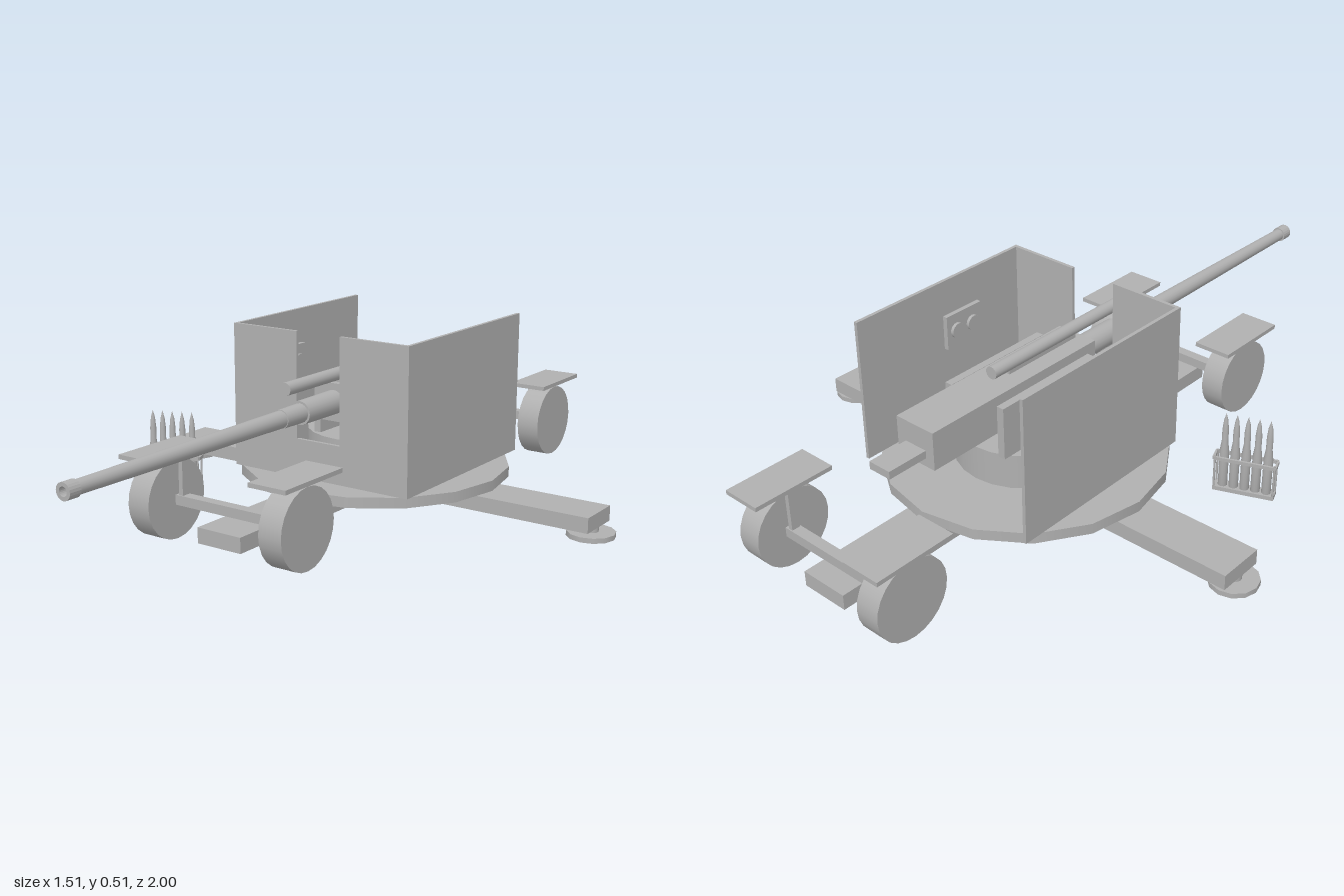
import * as THREE from 'three';

const steel = new THREE.MeshStandardMaterial({ color: 0xb0b0b0 });
steel.name = 'gunGrey';
const CZ = -0.23; // turntable centre

function add(parent, name, geo, x, y, z) {
  const m = new THREE.Mesh(geo, steel);
  m.name = name;
  m.position.set(x, y, z);
  parent.add(m);
  return m;
}

// box given by its min / max corners
function box(parent, name, x0, x1, y0, y1, z0, z1) {
  return add(parent, name, new THREE.BoxGeometry(x1 - x0, y1 - y0, z1 - z0),
    (x0 + x1) / 2, (y0 + y1) / 2, (z0 + z1) / 2);
}

// upright cylinder from y0 to y1
function post(parent, name, x, z, r, y0, y1, seg = 16) {
  return add(parent, name, new THREE.CylinderGeometry(r, r, y1 - y0, seg), x, (y0 + y1) / 2, z);
}

// cylinder along z from z0 (radius r0) to z1 (radius r1)
function tubeZ(parent, name, y, r0, r1, z0, z1) {
  const g = new THREE.CylinderGeometry(r1, r0, z1 - z0, 20).rotateX(Math.PI / 2);
  return add(parent, name, g, 0, y, (z0 + z1) / 2);
}

// cylinder along x
function tubeX(parent, name, x0, x1, y, z, r, seg = 16) {
  const g = new THREE.CylinderGeometry(r, r, Math.abs(x1 - x0), seg).rotateZ(Math.PI / 2);
  return add(parent, name, g, (x0 + x1) / 2, y, z);
}

function group(parent, name) {
  const g = new THREE.Group();
  g.name = name;
  parent.add(g);
  return g;
}

function buildBase(root) {
  const base = group(root, 'base');
  box(base, 'longBeam', -0.07, 0.07, 0.027, 0.07, -0.945, 0.48);
  for (const s of [-1, 1]) {
    const [a, b] = s > 0 ? [0.07, 0.71] : [-0.71, -0.07];
    box(base, 'sideBeam', a, b, 0.027, 0.07, -0.3, -0.165);
    post(base, 'footNeck', s * 0.69, CZ, 0.02, 0.012, 0.03);
    post(base, 'footPad', s * 0.69, CZ, 0.066, 0, 0.014, 12);
  }
  post(base, 'turntable', 0, CZ, 0.39, 0.07, 0.1);
}

function buildAxle(root, z) {
  const axle = group(root, 'axle');
  box(axle, 'axleBeam', -0.18, 0.18, 0.1, 0.127, z - 0.015 - 0.01, z + 0.015 - 0.01);
  for (const s of [-1, 1]) {
    tubeX(axle, 'wheel', s * 0.178, s * 0.247, 0.115, z, 0.109, 24);
    const arm = box(axle, 'fenderArm', 0.155, 0.168, 0.115, 0.237, z - 0.022, z + 0.002);
    arm.position.x *= s;
    const fender = box(axle, 'fender', 0.155, 0.268, 0.235, 0.247, z - 0.117, z + 0.117);
    fender.position.x *= s;
  }
}

function buildShield(root) {
  const shield = group(root, 'shield');
  // front plate with a slot for the gun
  const s = new THREE.Shape([[-0.29, 0.1], [0.29, 0.1], [0.29, 0.512], [0.072, 0.512], [0.072, 0.21],
    [-0.072, 0.21], [-0.072, 0.512], [-0.29, 0.512]].map(p => new THREE.Vector2(...p)));
  add(shield, 'frontPlate', new THREE.ExtrudeGeometry(s, { depth: 0.01, bevelEnabled: false }), 0, 0, -0.047 + 0.09);
  for (const d of [-1, 1]) {
    const plate = box(shield, 'sidePlate', 0.28, 0.29, 0.1, 0.512, -0.547, 0.045);
    plate.position.x *= d;
    // instrument panel on the inner face
    const panel = box(shield, 'instrumentPanel', 0.266, 0.28, 0.31, 0.41, -0.25, -0.12);
    panel.position.x *= d;
    for (const z of [-0.215, -0.155]) tubeX(shield, 'dial', d * 0.257, d * 0.266, 0.36, z, 0.022);
  }
}

function buildCarriage(root) {
  const car = group(root, 'carriage');
  post(car, 'pedestal', 0, CZ, 0.196, 0.1, 0.2, 24);
  for (const s of [-1, 1]) {
    const cheek = box(car, 'cheekPlate', 0.08, 0.102, 0.2, 0.35, -0.42, -0.07);
    cheek.position.x *= s;
    // elevation and traverse handwheels
    const wheel = add(car, 'handwheel', new THREE.TorusGeometry(0.036, 0.005, 8, 20), s * 0.138, 0.25, -0.35);
    wheel.rotation.y = Math.PI / 2;
    for (const r of [0, Math.PI / 2]) {
      const spoke = add(car, 'spoke', new THREE.BoxGeometry(0.006, 0.072, 0.006), s * 0.138, 0.25, -0.35);
      spoke.rotation.x = r;
    }
    tubeX(car, 'handwheelShaft', s * 0.1, s * 0.142, 0.25, -0.35, 0.007, 10);
  }
  tubeX(car, 'trunnion', -0.1, 0.1, 0.31, -0.2, 0.025);
  // crew seats
  post(car, 'roundSeat', -0.19, -0.4, 0.036, 0.19, 0.21);
  post(car, 'seatPost', -0.19, -0.4, 0.01, 0.1, 0.19, 10);
  box(car, 'squareSeat', 0.145, 0.23, 0.19, 0.21, -0.48, -0.38);
  post(car, 'seatPost', 0.187, -0.43, 0.01, 0.1, 0.19, 10);
}

function buildGun(root) {
  const gun = group(root, 'gun');
  box(gun, 'receiver', -0.063, 0.063, 0.255, 0.363, -0.625, -0.02);
  box(gun, 'loadingTray', -0.035, 0.035, 0.28, 0.302, -0.745, -0.625);
  tubeZ(gun, 'barrelSleeve', 0.31, 0.034, 0.033, -0.02, 0.135);
  tubeZ(gun, 'barrelStep', 0.31, 0.027, 0.026, 0.135, 0.22);
  tubeZ(gun, 'barrel', 0.31, 0.024, 0.018, 0.22, 0.97);
  // hollow muzzle collar
  const pts = [[0.018, 0], [0.022, 0], [0.022, 0.035], [0.012, 0.035], [0.012, 0.005], [0, 0.005]]
    .map(p => new THREE.Vector2(...p));
  const collar = add(gun, 'muzzleCollar',
    new THREE.LatheGeometry(pts, 20).rotateX(Math.PI / 2).toNonIndexed(), 0, 0.31, 0.965);
  collar.geometry.computeVertexNormals();
  tubeZ(gun, 'recuperator', 0.387, 0.018, 0.018, -0.355, 0.2);
  box(gun, 'recuperatorMount', -0.012, 0.012, 0.36, 0.375, -0.3, -0.04);
}

function buildAmmoRack(root) {
  const rack = group(root, 'ammoRack');
  rack.position.set(-0.49, 0, 0.1);
  rack.rotation.y = 0.37;
  const L = 0.084, W = 0.018;
  box(rack, 'rackBase', -L, L, 0, 0.012, -W, W);
  for (const s of [-1, 1]) {
    box(rack, 'sideRail', -L, L, 0.098, 0.108, s * W - 0.003, s * W + 0.003);
    box(rack, 'endRail', s * L - 0.003, s * L + 0.003, 0.098, 0.108, -W, W);
    for (const t of [-1, 1]) post(rack, 'rackPost', s * (L - 0.003), t * (W - 0.002), 0.003, 0.012, 0.11, 8);
  }
  // shell profile: rim, case, neck, pointed tip
  const pts = [[0, 0.012], [0.013, 0.012], [0.013, 0.12], [0.009, 0.15], [0.009, 0.185], [0.006, 0.215], [0, 0.238]]
    .map(p => new THREE.Vector2(...p));
  const shell = new THREE.LatheGeometry(pts, 12);
  for (let i = -2; i <= 2; i++) add(rack, 'shell', shell, i * 0.03, 0, 0);
}

export function createModel() {
  const root = new THREE.Group();
  root.name = 'fieldGun';
  buildBase(root);
  buildAxle(root, 0.435);
  buildAxle(root, -0.883);
  buildShield(root);
  buildCarriage(root);
  buildGun(root);
  buildAmmoRack(root);
  return root;
}
